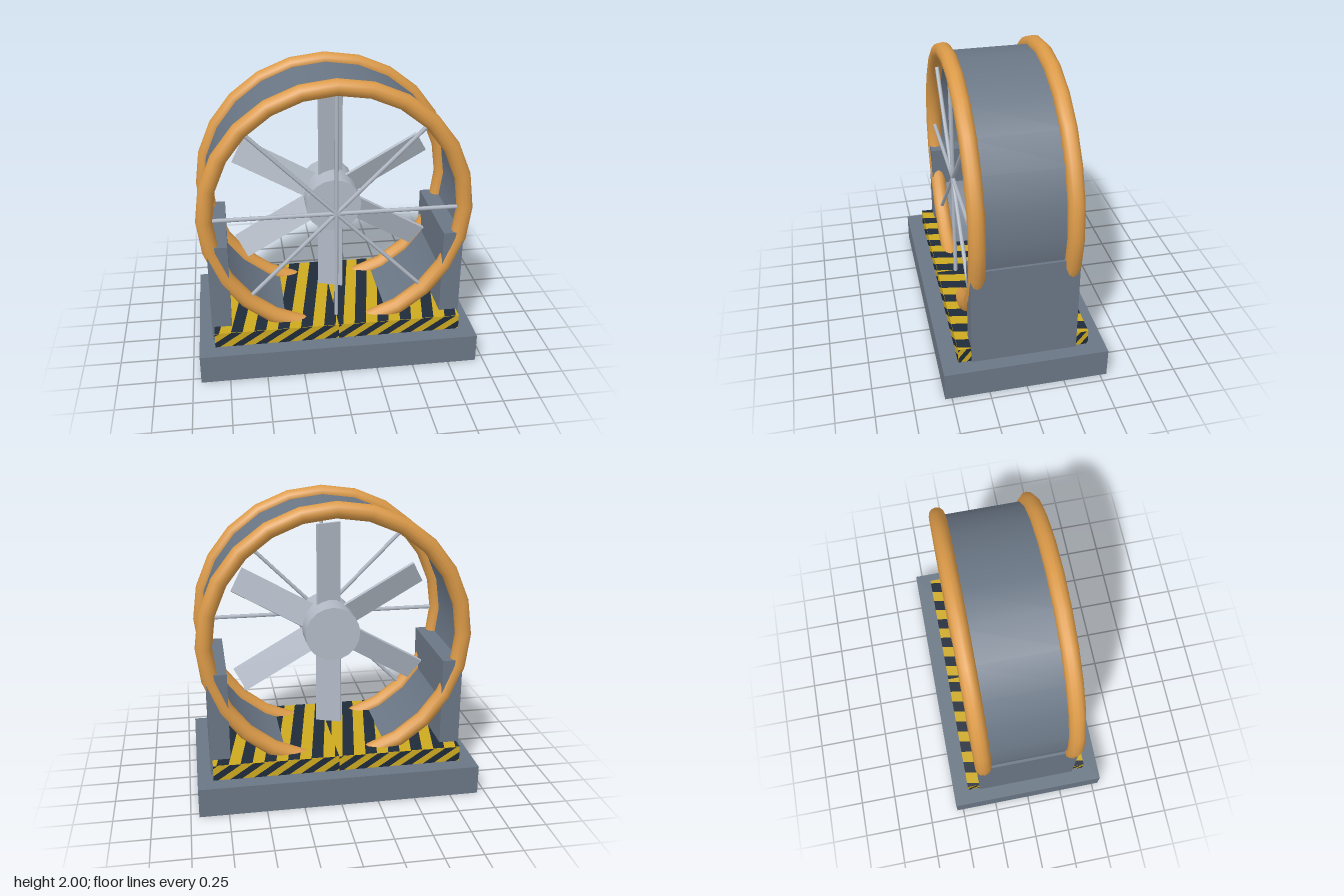
import * as THREE from 'three';

const material = (name, color, extra = {}) => {
  const m = new THREE.MeshStandardMaterial({ color, ...extra });
  m.name = name;
  return m;
};

const AXIS_Y = 1.085; // height of the fan axis

// Clips a polygon of [u, v] points to u >= 0 and u <= 1
function clipU(points) {
  for (const [limit, sign] of [[0, 1], [1, -1]]) {
    const out = [];
    points.forEach((p, i) => {
      const q = points[(i + 1) % points.length];
      const dp = (p[0] - limit) * sign, dq = (q[0] - limit) * sign;
      if (dp >= 0) out.push(p);
      if (dp * dq < 0) {
        const t = dp / (dp - dq);
        out.push([limit, p[1] + (q[1] - p[1]) * t]);
      }
    });
    points = out;
  }
  return points;
}

// Slanted warning stripes over a w x h panel, made as two equal halves
function stripeGeometry(w, h) {
  const period = 0.1875, slant = 0.1875, shapes = [];
  for (let half = 0; half < 2; half++) {
    for (let k = -2; k < 7; k++) {
      const a = -0.058 + k * period, b = a + period / 2;
      const poly = clipU([[a, 0], [b, 0], [b + slant, 1], [a + slant, 1]]);
      if (poly.length < 3) continue;
      shapes.push(new THREE.Shape(poly.map(([u, v]) =>
        new THREE.Vector2((u + half - 1) * w / 2, (v - 0.5) * h))));
    }
  }
  return new THREE.ShapeGeometry(shapes);
}

export function createModel() {
  const steel = material('steel grey', 0x6b7786);
  const shell = material('duct grey', 0x6b7786, { side: THREE.DoubleSide });
  const orange = material('guard orange', 0xdb9a48);
  const silver = material('fan silver', 0xb3bbc7);
  const yellow = material('warning yellow', 0xcda920);
  const dark = material('warning dark', 0x1f2b3a);

  const model = new THREE.Group();
  model.name = 'ductFan';
  const add = (name, geometry, mat, parent = model) => {
    const mesh = new THREE.Mesh(geometry, mat);
    mesh.name = name;
    parent.add(mesh);
    return mesh;
  };

  // Base slab
  add('base', new THREE.BoxGeometry(1.89, 0.2, 1.09), steel).position.y = 0.1;

  // Warning platform with dark stripes on its five visible faces
  const W = 1.68, H = 0.105, D = 0.87, gap = 0.002;
  const platform = new THREE.Group();
  platform.name = 'warningPlatform';
  platform.position.y = 0.2 + H / 2;
  model.add(platform);
  add('platformBlock', new THREE.BoxGeometry(W, H, D), yellow, platform);
  for (let i = 0; i < 4; i++) {
    const side = i % 2 === 1;
    const g = stripeGeometry(side ? D : W, H);
    g.translate(0, 0, (side ? W : D) / 2 + gap);
    add('sideStripes', g, dark, platform).rotation.y = i * Math.PI / 2;
  }
  const top = add('topStripes', stripeGeometry(W, D), dark, platform);
  top.rotation.x = -Math.PI / 2;
  top.position.y = H / 2 + gap;

  // Side supports
  for (const s of [-1, 1]) {
    add('support', new THREE.BoxGeometry(0.135, 0.71, 0.7), steel)
      .position.set(s * 0.7875, 0.555, 0);
  }

  // Open duct and its two rim rings
  const duct = new THREE.CylinderGeometry(0.86, 0.86, 0.61, 24, 1, true);
  duct.rotateX(Math.PI / 2);
  add('duct', duct, shell).position.y = AXIS_Y;
  for (const s of [-1, 1]) {
    add('rimRing', new THREE.TorusGeometry(0.86, 0.055, 12, 24), orange)
      .position.set(0, AXIS_Y, s * 0.305);
  }

  // Rotor: hub and six pitched blades
  const rotor = new THREE.Group();
  rotor.name = 'rotor';
  rotor.position.y = AXIS_Y;
  model.add(rotor);
  const hub = new THREE.CylinderGeometry(0.185, 0.185, 0.37, 20);
  hub.rotateX(Math.PI / 2);
  add('hub', hub, silver, rotor);
  const blade = new THREE.BoxGeometry(0.175, 0.615, 0.02);
  blade.rotateY(THREE.MathUtils.degToRad(20));
  blade.translate(0, 0.4075, 0);
  for (let i = 0; i < 6; i++) {
    add('blade', blade, silver, rotor).rotation.z = i * Math.PI / 3;
  }

  // Front guard bars crossing at the axis
  const bar = new THREE.CylinderGeometry(0.014, 0.014, 1.64, 6);
  for (let i = 0; i < 4; i++) {
    const mesh = add('guardBar', bar, silver);
    mesh.position.set(0, AXIS_Y, 0.305);
    mesh.rotation.z = i * Math.PI / 4;
  }

  return model;
}
